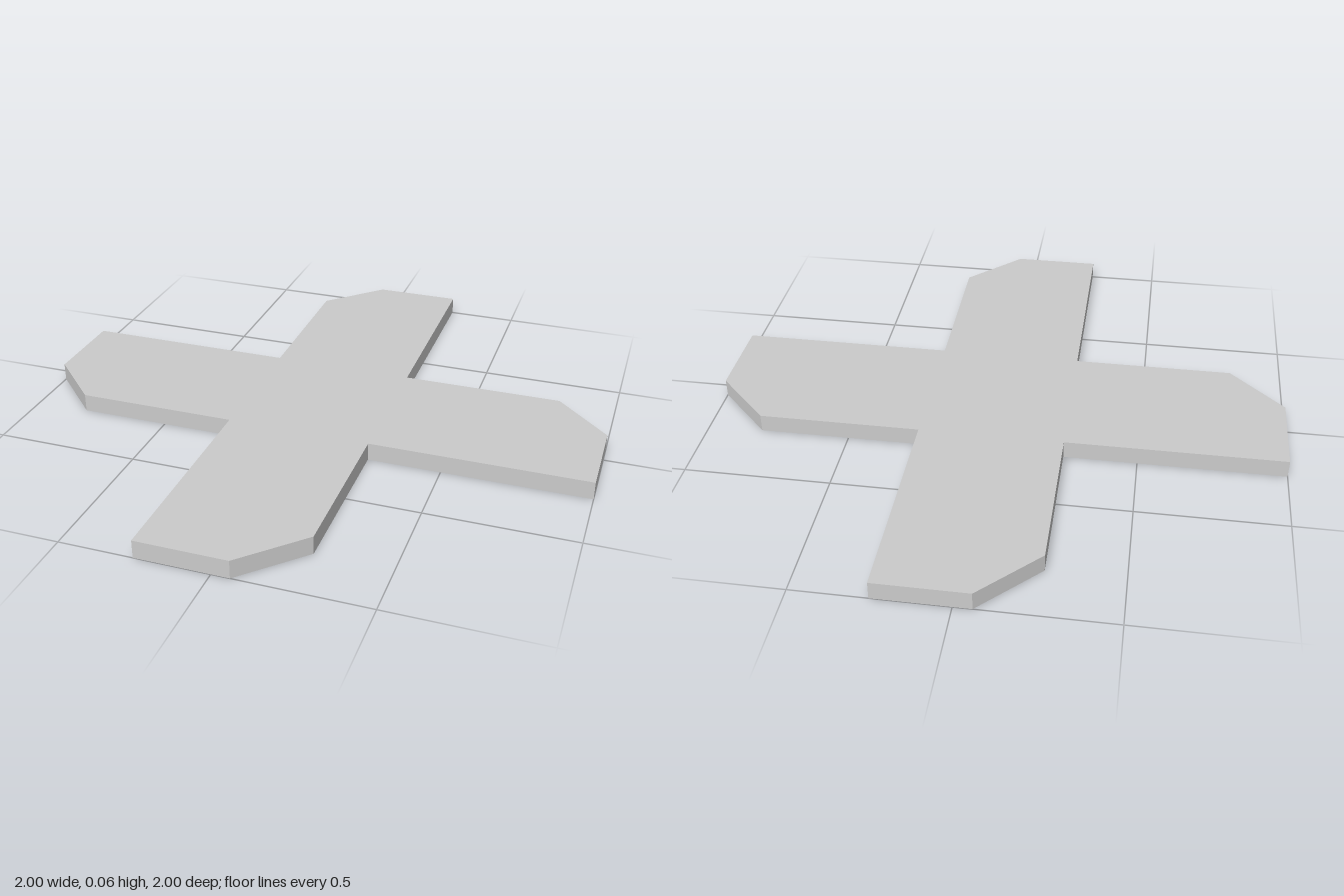
import * as THREE from 'three';

const HALF_WIDTH = 0.25;
const CHAMFER = 0.19;
const THICKNESS = 0.0625;

// One blade's outline, from its inner corner around the clipped tip
const BLADE = [
  [HALF_WIDTH, -HALF_WIDTH],
  [1, -HALF_WIDTH],
  [1, HALF_WIDTH - CHAMFER],
  [1 - CHAMFER, HALF_WIDTH],
];

export function createModel() {
  const group = new THREE.Group();
  group.name = 'fourBladeCross';

  // Repeat the blade outline at each quarter turn
  const outline = [];
  for (let i = 0; i < 4; i++) {
    for (const [x, y] of BLADE) {
      outline.push(new THREE.Vector2(x, y).rotateAround(new THREE.Vector2(), i * Math.PI / 2));
    }
  }

  // Flat plate lying on the ground
  const geometry = new THREE.ExtrudeGeometry(new THREE.Shape(outline), {
    depth: THICKNESS,
    bevelEnabled: false,
  });
  geometry.rotateX(-Math.PI / 2);

  const material = new THREE.MeshStandardMaterial({ color: 0xcccccc, flatShading: true });
  const plate = new THREE.Mesh(geometry, material);
  plate.name = 'crossPlate';
  group.add(plate);
  return group;
}
